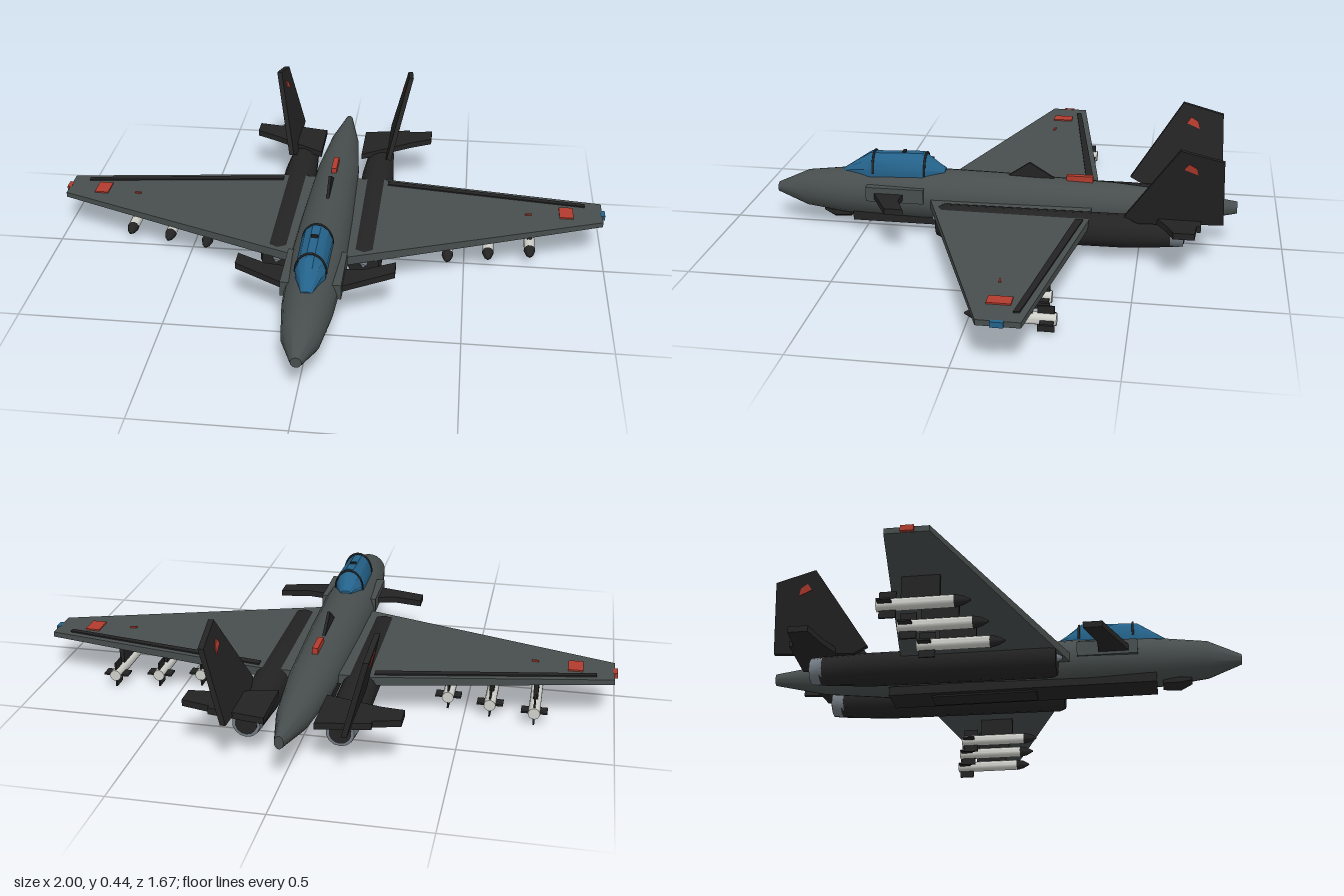
import * as THREE from 'three';
import { toCreasedNormals } from 'three/addons/utils/BufferGeometryUtils.js';

const paint = (name, color) => {
  const m = new THREE.MeshStandardMaterial({ color });
  m.name = name;
  return m;
};

// Skin through elliptical rings [z, centreY, radiusX, radiusY], listed from front to back
function loft(rings, sides, crease = 0.6, cx = 0) {
  const pos = [], idx = [];
  for (const [z, cy, rx, ry] of rings)
    for (let i = 0; i < sides; i++) {
      const a = (i / sides) * Math.PI * 2 + Math.PI / sides;
      pos.push(cx + Math.cos(a) * rx, cy + Math.sin(a) * ry, z);
    }
  const last = rings.length - 1, front = rings.length * sides;
  pos.push(cx, rings[0][1], rings[0][0], cx, rings[last][1], rings[last][0]);
  for (let i = 0; i < sides; i++) {
    const k = (i + 1) % sides;
    for (let j = 0; j < last; j++) {
      const a = j * sides, b = a + sides;
      idx.push(a + i, b + i, a + k, a + k, b + i, b + k);
    }
    idx.push(front, i, k, front + 1, last * sides + k, last * sides + i);
  }
  const g = new THREE.BufferGeometry();
  g.setAttribute('position', new THREE.Float32BufferAttribute(pos, 3));
  g.setIndex(idx);
  return toCreasedNormals(g, crease);
}

// Extruded outline of unit depth, t from -0.5 to 0.5
const extrude = (pts) =>
  new THREE.ExtrudeGeometry(new THREE.Shape(pts.map(([x, y]) => new THREE.Vector2(x, y))),
    { depth: 1, bevelEnabled: false }).translate(0, 0, -0.5);

// Flat part from an (x, z) outline; rule(x, t) gives its height
function planform(pts, rule) {
  const g = extrude(pts.map(([x, z]) => [x, -z])).rotateX(-Math.PI / 2);
  const p = g.attributes.position;
  for (let i = 0; i < p.count; i++) p.setY(i, rule(p.getX(i), p.getY(i)));
  g.computeVertexNormals();
  return g;
}

// Upright part from a (z, y) outline; rule(y, t) gives its x
function upright(pts, rule) {
  const g = extrude(pts.map(([z, y]) => [-z, y])).rotateY(Math.PI / 2);
  const p = g.attributes.position;
  for (let i = 0; i < p.count; i++) p.setX(i, rule(p.getY(i), p.getX(i)));
  g.computeVertexNormals();
  return g;
}

const box = (x0, x1, y0, y1, z0, z1) =>
  new THREE.BoxGeometry(x1 - x0, y1 - y0, z1 - z0)
    .translate((x0 + x1) / 2, (y0 + y1) / 2, (z0 + z1) / 2);

export function createModel() {
  const grey = paint('body grey', 0x474e4d);
  const dark = paint('dark panels', 0x232323);
  const red = paint('red markings', 0xb23b2d);
  const blue = paint('canopy blue', 0x24628a);
  const white = paint('missile white', 0xcfcfca);
  const metal = paint('nozzle metal', 0x737b83);

  const model = new THREE.Group();
  model.name = 'jet';
  const add = (parent, name, geometry, material) => {
    const m = new THREE.Mesh(geometry, material);
    m.name = name;
    parent.add(m);
    return m;
  };

  // Fuselage
  add(model, 'fuselage', loft([
    [0.835, 0.132, 0.018, 0.018], [0.72, 0.137, 0.064, 0.066], [0.56, 0.137, 0.085, 0.085],
    [0.3, 0.14, 0.098, 0.093], [0, 0.14, 0.093, 0.09], [-0.4, 0.14, 0.08, 0.077],
    [-0.65, 0.143, 0.055, 0.054], [-0.835, 0.153, 0.015, 0.022]], 20), grey);
  add(model, 'chinSensor', loft([[0.66, 0.062, 0.02, 0.012], [0.62, 0.055, 0.035, 0.025],
    [0.56, 0.055, 0.03, 0.02]], 8, 0.1), dark);
  add(model, 'bellyPanel', box(-0.06, 0.06, 0.042, 0.075, -0.4, 0.54), dark);
  add(model, 'bellyBay', box(-0.04, 0.04, 0.036, 0.05, -0.25, 0.12), dark);

  // Canopy with frame hoops
  add(model, 'canopy', loft([[0.58, 0.215, 0.018, 0.008], [0.48, 0.22, 0.052, 0.071],
    [0.285, 0.225, 0.055, 0.074], [0.205, 0.23, 0.02, 0.01]], 12, 0.5), blue);
  for (const z of [0.465, 0.275]) {
    const hoop = add(model, 'canopyFrame', new THREE.TorusGeometry(1, 0.06, 6, 16, Math.PI), dark);
    hoop.scale.set(0.053, 0.072, 0.07);
    hoop.position.set(0, 0.223, z);
  }
  add(model, 'canopyLatch', box(-0.012, 0.012, 0.293, 0.3, 0.35, 0.362), dark);

  // Spine antenna and beacon
  add(model, 'spineFin', upright([[-0.02, 0.225], [-0.19, 0.225], [-0.1, 0.28]],
    (y, t) => t * 0.01), dark);
  add(model, 'spineBeacon', box(-0.01, 0.01, 0.2, 0.24, -0.327, -0.233), red);

  // Height rules for the wing
  const mid = (x) => 0.133 + 0.021 * x;
  const thick = (x) => 0.034 - 0.016 * x;
  const wingTop = (x, t) => mid(x) + thick(x) / 2 + 0.002 + t * 0.006;
  const finLean = (y) => 0.19 + 0.257 * (y - 0.17);

  for (const side of [1, -1]) {
    const half = new THREE.Group();
    half.name = side > 0 ? 'leftSide' : 'rightSide';
    half.scale.x = side;
    model.add(half);

    // Wing, trailing flap and markings
    add(half, 'wing', planform([[0.05, 0.26], [0.99, -0.075], [0.99, -0.21], [0.2, -0.33],
      [0.05, -0.33]], (x, t) => mid(x) + t * thick(x)), grey);
    add(half, 'wingFlap', planform([[0.2, -0.285], [0.93, -0.178], [0.93, -0.197], [0.2, -0.312]],
      wingTop), dark);
    add(half, 'wingMarking', planform([[0.835, -0.09], [0.885, -0.09], [0.885, -0.165],
      [0.835, -0.165]], wingTop), red);
    add(half, 'wingTick', planform([[0.712, -0.102], [0.735, -0.105], [0.735, -0.112],
      [0.712, -0.109]], wingTop), red);
    add(half, 'tipLight', box(0.985, 1, 0.146, 0.164, -0.16, -0.12), side > 0 ? blue : red);

    // Engine, intake spike and exhaust
    add(half, 'engine', loft([[0.205, 0.1, 0.054, 0.052], [0.185, 0.1, 0.062, 0.06],
      [-0.45, 0.104, 0.062, 0.058], [-0.62, 0.108, 0.05, 0.05]], 14, 0.6, 0.152), dark);
    add(half, 'intakeSpike', loft([[0.225, 0.108, 0.006, 0.006], [0.2, 0.108, 0.017, 0.017]],
      12, 0.6, 0.152), metal);
    add(half, 'nozzle', loft([[-0.61, 0.108, 0.052, 0.05], [-0.655, 0.108, 0.046, 0.046]],
      14, 0.6, 0.152), metal);
    add(half, 'exhaust', loft([[-0.65, 0.108, 0.036, 0.036], [-0.658, 0.108, 0.036, 0.036]],
      14, 0.6, 0.152), dark);

    // Canard on its side panel
    add(half, 'canardPanel', box(0.07, 0.102, 0.135, 0.188, 0.27, 0.48), grey);
    add(half, 'canard', planform([[0.09, 0.455], [0.27, 0.37], [0.27, 0.305], [0.17, 0.345],
      [0.09, 0.345]], (x, t) => 0.155 + 0.085 * (x - 0.09) + t * 0.022), dark);

    // Tailplane and outward-leaning fin
    add(half, 'tailplane', planform([[0.08, -0.51], [0.27, -0.595], [0.35, -0.62], [0.35, -0.69],
      [0.26, -0.695], [0.26, -0.71], [0.08, -0.71]],
      (x, t) => 0.153 + 0.11 * Math.max(0, x - 0.1) + t * 0.022), dark);
    add(half, 'tailFin', upright([[-0.45, 0.175], [-0.63, 0.448], [-0.775, 0.412], [-0.785, 0.165],
      [-0.5, 0.15]], (y, t) => finLean(y) + t * 0.018), dark);
    add(half, 'finMarking', upright([[-0.645, 0.378], [-0.66, 0.4], [-0.685, 0.385],
      [-0.692, 0.36]], (y, t) => finLean(y) + t * 0.024), red);

    // Missiles, staggered along the swept wing
    [0.44, 0.585, 0.735].forEach((x, i) => {
      const missile = new THREE.Group();
      missile.name = 'missile';
      missile.position.set(x, 0.048, 0.064 - 0.032 * i);
      half.add(missile);
      add(missile, 'missileBody', loft([[-0.045, 0, 0.02, 0.02], [-0.285, 0, 0.02, 0.02]], 12), white);
      add(missile, 'missileNose', loft([[0.003, 0, 0.003, 0.003], [-0.02, 0, 0.015, 0.015],
        [-0.046, 0, 0.021, 0.021]], 12), dark);
      add(missile, 'missileFinsUpright', box(-0.003, 0.003, -0.044, 0.044, -0.278, -0.225), dark);
      add(missile, 'missileFinsLevel', box(-0.044, 0.044, -0.003, 0.003, -0.278, -0.235), dark);
      add(missile, 'pylon', box(-0.008, 0.008, 0.01, 0.095, -0.21, -0.09), dark);
    });
  }
  return model;
}
